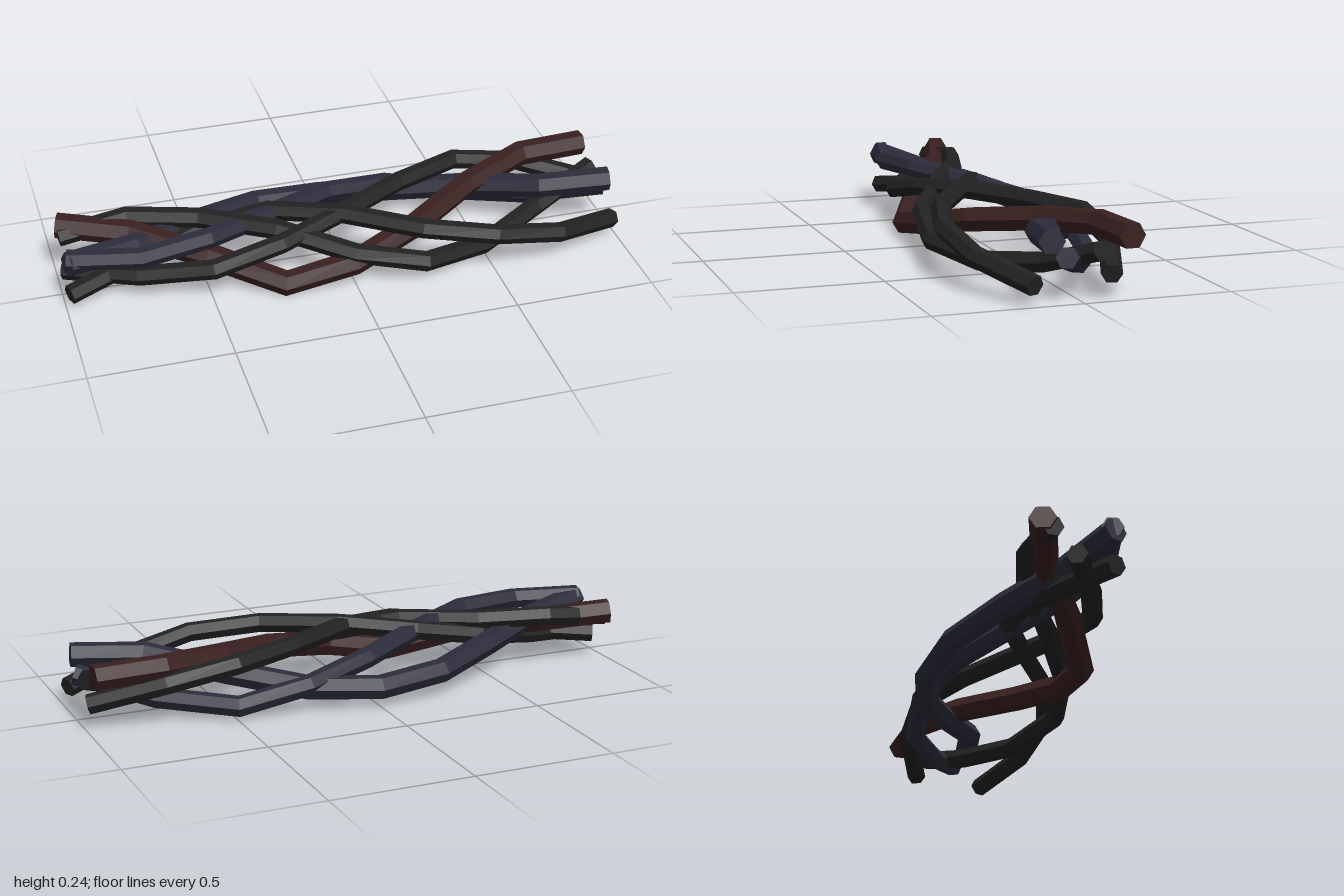
import * as THREE from 'three';

const SIDES = 6, END = 0.985;

// Faceted hexagonal cable through [y, z] points evenly spaced along x, with capped ends
function cableGeometry(points, radius) {
  const n = points.length - 1;
  const path = points.map(([y, z], i) => new THREE.Vector3(-END + (2 * END * i) / n, y, z));
  const up = new THREE.Vector3(0, 1, 0);
  const pos = [], index = [];
  path.forEach((p, i) => {
    const tangent = path[Math.min(i + 1, n)].clone().sub(path[Math.max(i - 1, 0)]).normalize();
    const side = tangent.clone().cross(up).normalize();
    const top = side.clone().cross(tangent);
    for (let k = 0; k < SIDES; k++) {
      const a = (k / SIDES) * Math.PI * 2;
      const v = p.clone().addScaledVector(side, radius * Math.cos(a)).addScaledVector(top, radius * Math.sin(a));
      pos.push(v.x, v.y, v.z);
    }
  });
  for (let i = 0; i < n; i++) {
    for (let k = 0; k < SIDES; k++) {
      const a = i * SIDES + k, d = i * SIDES + ((k + 1) % SIDES);
      const b = a + SIDES, c = d + SIDES;
      index.push(a, b, c, a, c, d);
    }
  }
  // End caps
  for (let k = 1; k < SIDES - 1; k++) {
    const e = n * SIDES;
    index.push(0, k, k + 1, e, e + k + 1, e + k);
  }
  const indexed = new THREE.BufferGeometry();
  indexed.setAttribute('position', new THREE.Float32BufferAttribute(pos, 3));
  indexed.setIndex(index);
  const geometry = indexed.toNonIndexed();
  geometry.computeVertexNormals();
  return geometry;
}

export function createModel() {
  const material = (name, color) => {
    const m = new THREE.MeshStandardMaterial({ color, flatShading: true });
    m.name = name;
    return m;
  };
  const black = material('black rubber', 0x222222);
  const blue = material('dark blue rubber', 0x2c2c3c);
  const red = material('dark red rubber', 0x3a2020);

  // Each path lists [y, z] from the right end (-x) to the left end (+x)
  const cables = [
    ['redCable', red, 0.045, [[0.19, -0.15], [0.165, -0.07], [0.12, 0.08], [0.039, 0.205], [0.085, 0.21],
      [0.135, 0.115], [0.175, -0.04], [0.2, -0.15], [0.2, -0.165]]],
    ['wideBlueCable', blue, 0.043, [[0.18, 0.09], [0.155, 0], [0.125, -0.14], [0.09, -0.26], [0.07, -0.285],
      [0.085, -0.225], [0.135, -0.1], [0.185, 0.06], [0.2, 0.105]]],
    ['narrowBlueCable', blue, 0.037, [[0.19, 0.08], [0.19, 0.135], [0.195, 0.085], [0.175, -0.04], [0.145, -0.175],
      [0.1, -0.245], [0.047, -0.215], [0.07, -0.08], [0.145, 0.055]]],
    ['frontBlackCable', black, 0.035, [[0.055, 0.09], [0.09, 0], [0.135, -0.07], [0.18, -0.055], [0.2, 0.07],
      [0.19, 0.225], [0.165, 0.295], [0.115, 0.27], [0.065, 0.16]]],
    ['middleBlackCable', black, 0.036, [[0.165, -0.115], [0.195, -0.13], [0.19, -0.06], [0.185, 0.08], [0.125, 0.215],
      [0.075, 0.26], [0.044, 0.165], [0.08, 0.03], [0.16, -0.06]]],
    ['backBlackCable', black, 0.035, [[0.075, -0.04], [0.085, 0.085], [0.12, 0.17], [0.17, 0.15], [0.195, 0.05],
      [0.195, -0.09], [0.19, -0.195], [0.15, -0.185], [0.085, -0.095]]],
  ];

  const group = new THREE.Group();
  group.name = 'cableBundle';
  for (const [name, mat, radius, points] of cables) {
    const mesh = new THREE.Mesh(cableGeometry(points, radius), mat);
    mesh.name = name;
    group.add(mesh);
  }
  return group;
}
